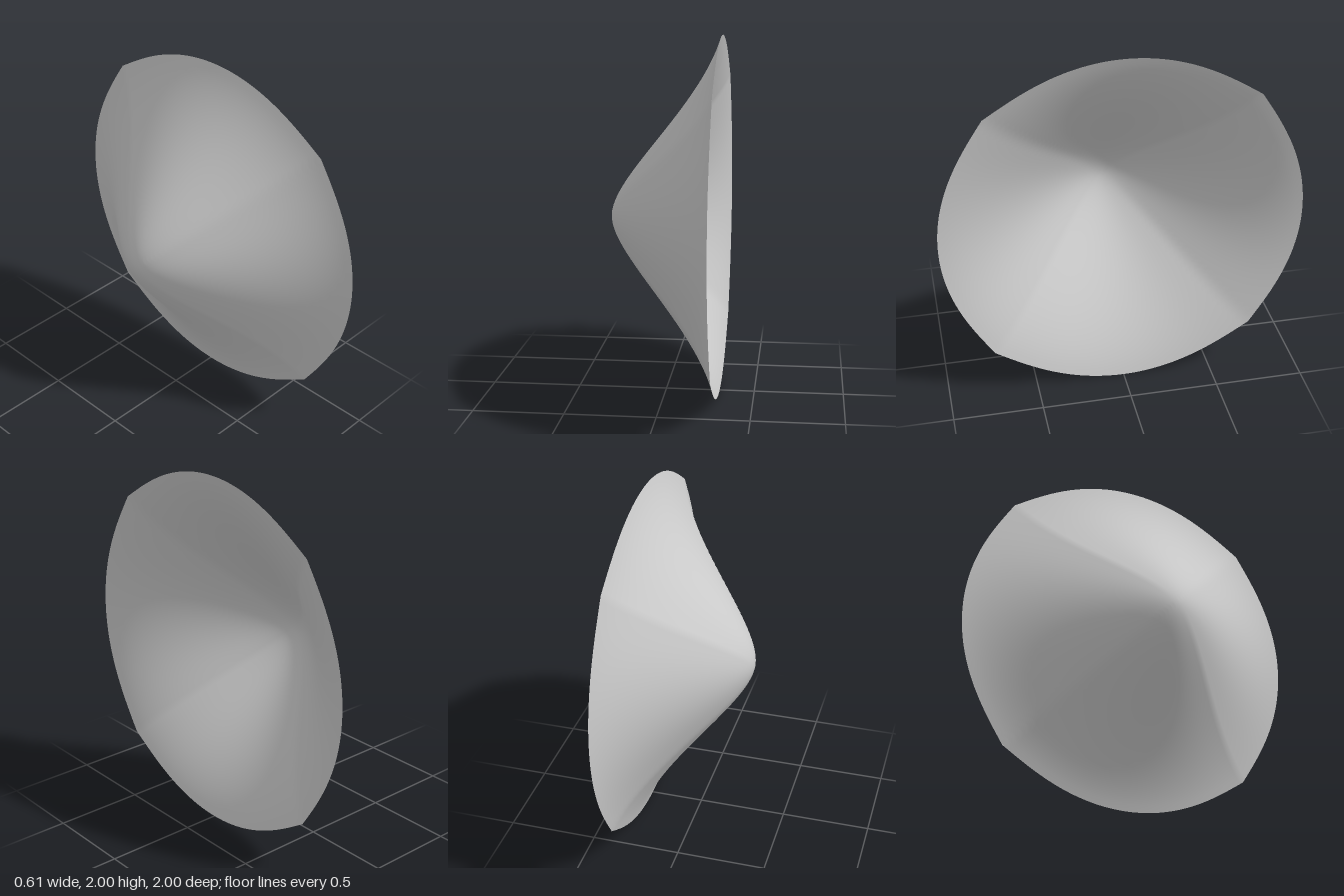
import * as THREE from 'three';

// Bell profile: x = distance from the axis, y = depth along the axis
const profile = new THREE.CubicBezierCurve(
  new THREE.Vector2(0, -0.306),
  new THREE.Vector2(0.22, -0.306),
  new THREE.Vector2(0.6, 0.18),
  new THREE.Vector2(1, 0.304)
);

export function createModel() {
  const group = new THREE.Group();
  group.name = 'curvedSheet';

  // Square grid bent into a round dish whose rim keeps four soft corners
  const geometry = new THREE.PlaneGeometry(2, 2, 64, 64);
  const pos = geometry.attributes.position;
  for (let i = 0; i < pos.count; i++) {
    const a = pos.getX(i), b = pos.getY(i);
    const s = Math.max(Math.abs(a), Math.abs(b));
    const t = s > 0 ? Math.min(Math.abs(a), Math.abs(b)) / s : 0;
    const p = profile.getPoint(Math.min(s, 1));
    const r = p.x * (1 + 0.034 * t ** 5);
    const angle = t * Math.PI / 4;
    let u = r * Math.cos(angle), v = r * Math.sin(angle);
    if (Math.abs(b) > Math.abs(a)) [u, v] = [v, u];
    // the bulge points to -x, the open side to +x
    pos.setXYZ(i, p.y, 1 + Math.sign(b) * v, -Math.sign(a) * u);
  }
  geometry.computeVertexNormals();

  const dish = new THREE.Mesh(
    geometry,
    new THREE.MeshStandardMaterial({ color: 0xcccccc, side: THREE.DoubleSide })
  );
  dish.name = 'dish';
  group.add(dish);
  return group;
}
